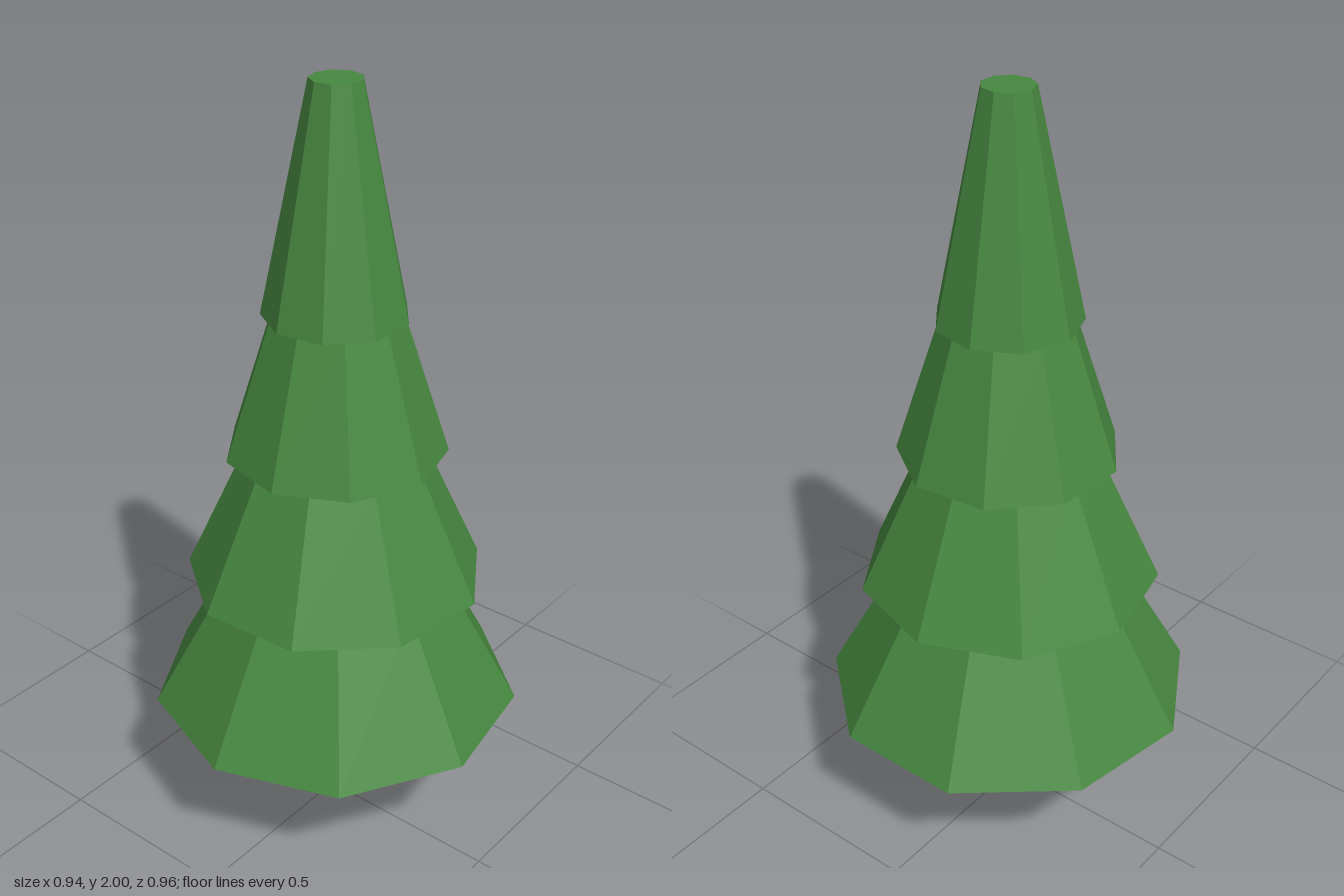
import * as THREE from 'three';

export function createModel() {
  const tree = new THREE.Group();
  tree.name = 'pineTree';

  const foliage = new THREE.MeshStandardMaterial({ color: 0x478840, flatShading: true });
  foliage.name = 'foliage green';
  const bark = new THREE.MeshStandardMaterial({ color: 0x6a4a2f, flatShading: true });
  bark.name = 'bark brown';

  const axisX = 0.014;

  // Capped, tapered prism with one corner at the given angle from +x towards +z
  function taper(name, material, sides, rBottom, rTop, y0, y1, cornerDeg) {
    const start = THREE.MathUtils.degToRad(90 - cornerDeg);
    const geometry = new THREE.CylinderGeometry(rTop, rBottom, y1 - y0, sides, 1, false, start);
    const mesh = new THREE.Mesh(geometry, material);
    mesh.name = name;
    mesh.position.set(axisX, (y0 + y1) / 2, 0);
    tree.add(mesh);
  }

  // Six-sided trunk
  taper('trunk', bark, 6, 0.061, 0.061, 0, 0.357, 0);

  // Four nine-sided tiers, each turned differently: bottom radius, top radius, y range, corner angle
  [
    [0.485, 0.285, 0.356, 0.716, 180],
    [0.387, 0.224, 0.716, 1.075, -3],
    [0.281, 0.165, 1.075, 1.434, 14],
    [0.182, 0.064, 1.434, 2.0, -9],
  ].forEach((tier, i) => taper(`foliageTier${i + 1}`, foliage, 9, ...tier));

  return tree;
}
